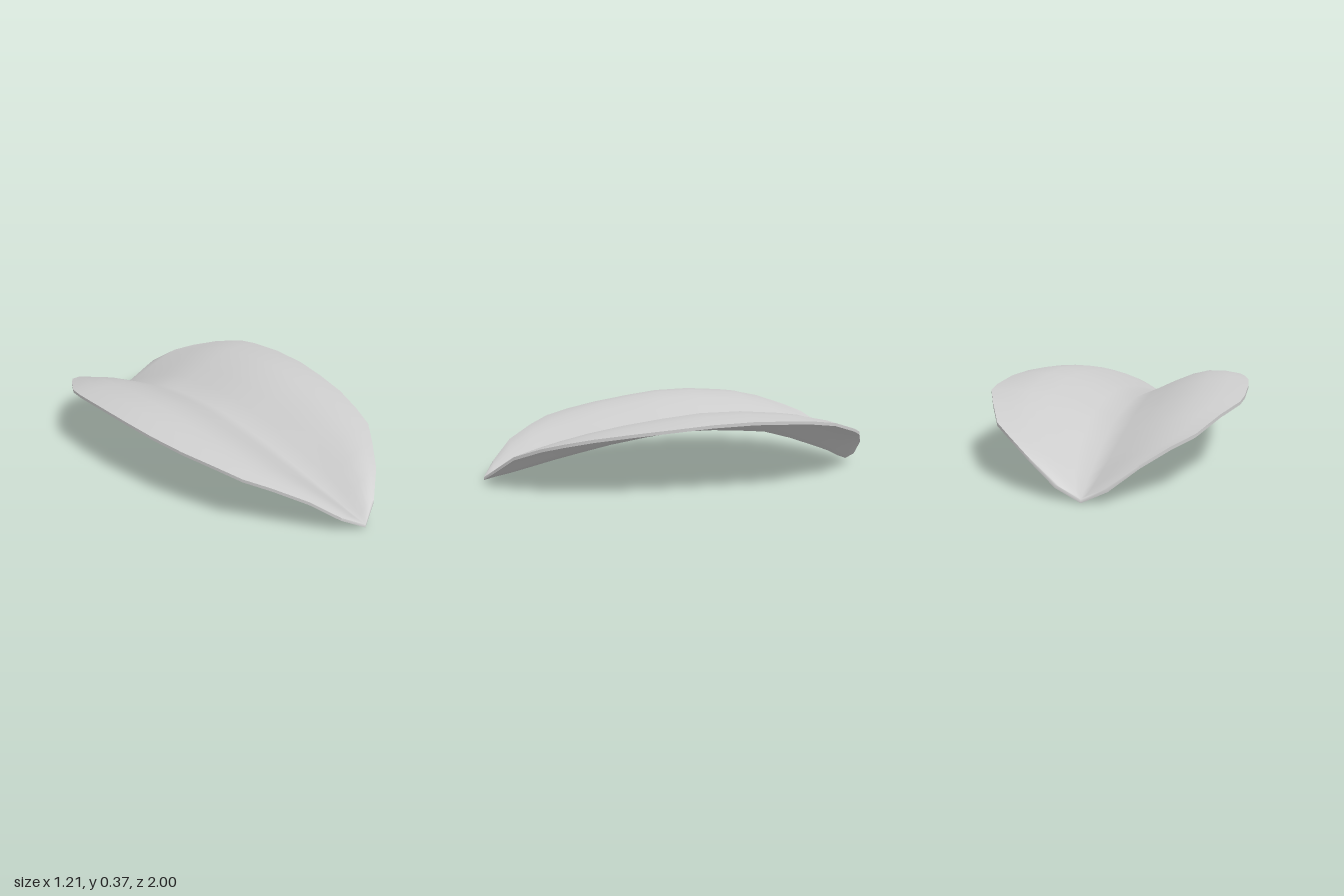
import * as THREE from 'three';
import { toCreasedNormals } from 'three/addons/utils/BufferGeometryUtils.js';

// Stations from the blunt back to the pointed front: z, half width, rim height, keel height (top surface)
const STATIONS = [
  [-1, 0, 0.02, 0.02], [-0.99, 0.11, 0.072, 0.025], [-0.955, 0.23, 0.165, 0.038],
  [-0.88, 0.345, 0.23, 0.075], [-0.8, 0.432, 0.265, 0.105], [-0.65, 0.515, 0.315, 0.158],
  [-0.5, 0.587, 0.342, 0.2], [-0.4, 0.601, 0.35, 0.21], [-0.2, 0.604, 0.357, 0.224],
  [0, 0.592, 0.35, 0.225], [0.18, 0.565, 0.332, 0.203], [0.36, 0.525, 0.312, 0.175],
  [0.52, 0.468, 0.288, 0.142], [0.645, 0.416, 0.262, 0.115], [0.74, 0.335, 0.23, 0.092],
  [0.86, 0.225, 0.175, 0.063], [0.95, 0.11, 0.09, 0.045], [1, 0, 0.033, 0.033],
];
const HALF = 6;
const THICKNESS = 0.015;

// Closed cross-section: over the top from right to left, then back underneath
function crossSection([z, width, rim, keel]) {
  const top = [];
  const hump = 0.068 * (1 - z * z);
  for (let j = -HALF; j <= HALF; j++) {
    const s = j / HALF, a = Math.abs(s);
    const y = keel + (rim - keel) * a + hump * Math.sin(Math.PI * Math.pow(a, 1.3));
    top.push([s * width, y, z]);
  }
  const under = top.map(([x, y]) => [x, y - THICKNESS, z]).reverse();
  return [...top, ...under];
}

function leafGeometry() {
  const rows = STATIONS.map(crossSection);
  const n = rows[0].length;
  const index = [];
  for (let i = 0; i < rows.length - 1; i++) {
    for (let j = 0; j < n; j++) {
      const k = (j + 1) % n;
      const a = i * n + j, b = a + n, c = (i + 1) * n + k, d = i * n + k;
      // mirror the diagonals about the keel
      if (rows[i][j][0] + rows[i][k][0] < 0) index.push(a, b, d, b, c, d);
      else index.push(a, b, c, a, c, d);
    }
  }
  const geometry = new THREE.BufferGeometry();
  geometry.setAttribute('position', new THREE.Float32BufferAttribute(rows.flat(2), 3));
  geometry.setIndex(index);
  return toCreasedNormals(geometry, 1.1);
}

export function createModel() {
  const model = new THREE.Group();
  model.name = 'leaf';
  const material = new THREE.MeshStandardMaterial({ color: 0xcccccc, side: THREE.DoubleSide });
  const blade = new THREE.Mesh(leafGeometry(), material);
  blade.name = 'leafBlade';
  // rest the lowest tip on the ground
  blade.geometry.computeBoundingBox();
  blade.position.y = -blade.geometry.boundingBox.min.y;
  model.add(blade);
  return model;
}
